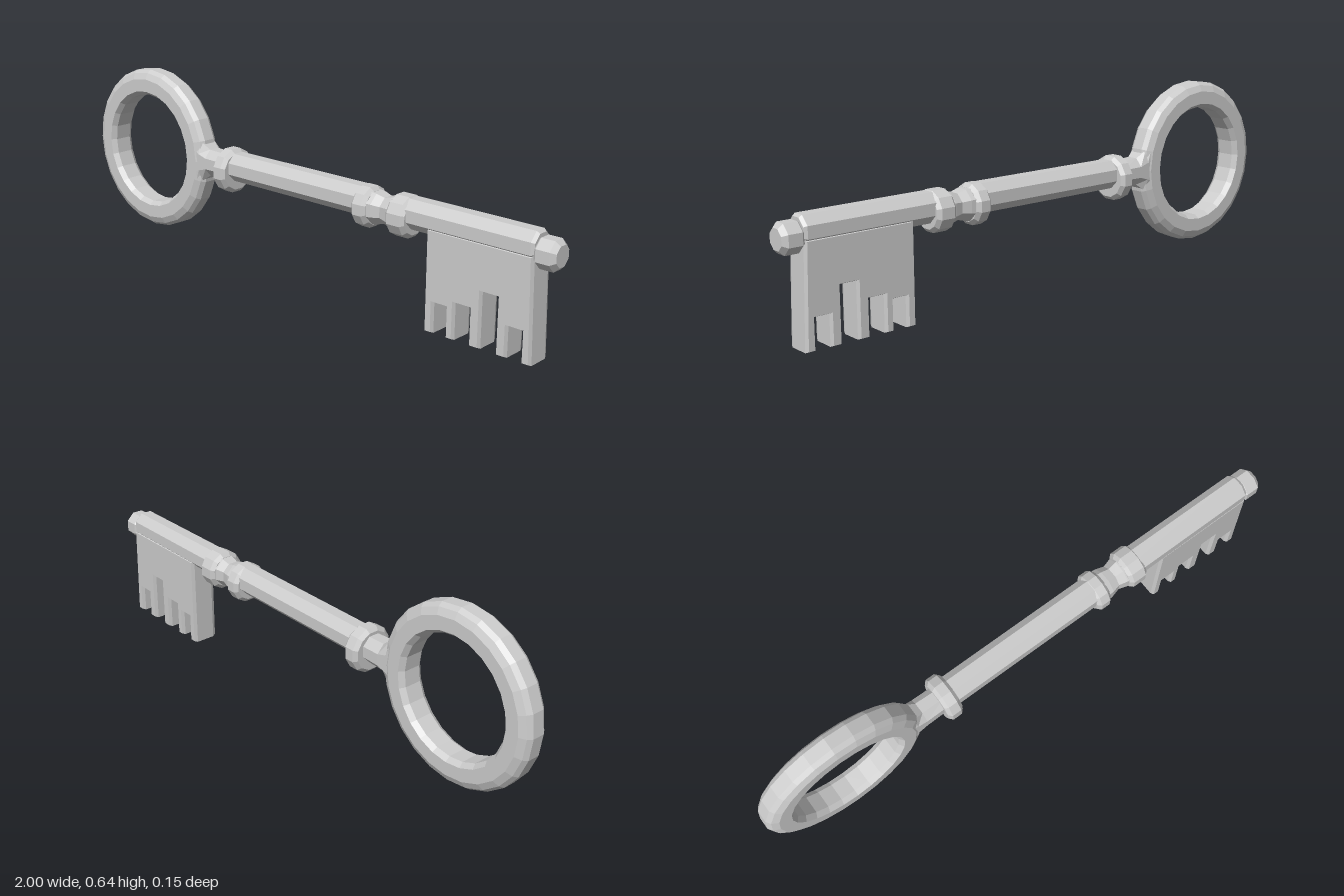
import * as THREE from 'three';

const material = new THREE.MeshStandardMaterial({ color: 0xcccccc, flatShading: true });

function addMesh(group, name, geometry) {
  const mesh = new THREE.Mesh(geometry, material);
  mesh.name = name;
  group.add(mesh);
  return mesh;
}

// Turned part lying along x; profile is [x, radius] from left to right,
// with flats (not corners) facing up, down, front and back.
function turned(profile, y, sides = 8) {
  const k = 1 / Math.cos(Math.PI / sides);
  const points = profile.map(([x, r]) => new THREE.Vector2(r * k, x));
  const geometry = new THREE.LatheGeometry(points, sides, Math.PI / sides);
  geometry.rotateZ(-Math.PI / 2);
  geometry.translate(0, y, 0);
  return geometry;
}

// Collar with chamfered rims
function collar(x0, x1, radius, y) {
  const c = 0.012;
  return turned([[x0, 0], [x0, radius - c], [x0 + c, radius], [x1 - c, radius], [x1, radius - c], [x1, 0]], y, 12);
}

export function createModel() {
  const key = new THREE.Group();
  key.name = 'key';

  // Ring handle: chamfered section swept around the z axis
  const section = [
    [0.2, -0.03], [0.213, -0.047], [0.258, -0.047], [0.28, -0.036], [0.291, -0.021],
    [0.291, 0.021], [0.28, 0.036], [0.258, 0.047], [0.213, 0.047], [0.2, 0.03], [0.2, -0.03],
  ].map(([r, z]) => new THREE.Vector2(r, z));
  const ring = new THREE.LatheGeometry(section, 24);
  ring.rotateX(Math.PI / 2);
  ring.translate(-0.71, 0.345, 0);
  addMesh(key, 'ringHandle', ring);

  // Neck flaring into the ring, flattened to the ring's thickness
  const neck = turned([[-0.49, 0], [-0.465, 0.1], [-0.44, 0.072], [-0.405, 0.047], [-0.32, 0.043], [-0.32, 0]], 0.345);
  const p = neck.attributes.position;
  for (let i = 0; i < p.count; i++) p.setZ(i, THREE.MathUtils.clamp(p.getZ(i), -0.044, 0.044));
  addMesh(key, 'neck', neck);

  // Shaft in two lengths, with a thinner waist between the double collars
  addMesh(key, 'shaft', turned([[-0.3, 0], [-0.3, 0.048], [0.3, 0.048], [0.3, 0]], 0.351));
  addMesh(key, 'waist', turned([[0.3, 0.055], [0.35, 0.05], [0.38, 0.042], [0.41, 0.05], [0.45, 0.055]], 0.337));
  addMesh(key, 'bitShaft', turned([[0.45, 0], [0.45, 0.048], [0.925, 0.047], [0.935, 0.04], [0.935, 0]], 0.35));

  // Collars
  addMesh(key, 'handleCollar', collar(-0.34, -0.283, 0.076, 0.335));
  addMesh(key, 'middleCollar', collar(0.278, 0.335, 0.066, 0.335));
  addMesh(key, 'bitCollar', collar(0.415, 0.487, 0.066, 0.335));

  // End knob
  addMesh(key, 'endKnob', turned([[0.91, 0.036], [0.93, 0.038], [0.94, 0.046], [0.985, 0.046], [1, 0.032], [1, 0]], 0.335));

  // Bit: plate with notches cut from below, [left, right, height]
  const notches = [[0.595, 0.645, 0.1], [0.673, 0.73, 0.12], [0.767, 0.825, 0.18], [0.86, 0.912, 0.1]];
  const bit = new THREE.Shape();
  bit.moveTo(0.565, 0.33);
  bit.lineTo(0.565, 0);
  for (const [left, right, height] of notches) {
    bit.lineTo(left, 0);
    bit.lineTo(left, height);
    bit.lineTo(right, height);
    bit.lineTo(right, 0);
  }
  bit.lineTo(0.943, 0);
  bit.lineTo(0.933, 0.33);
  bit.closePath();
  const bevel = 0.005, depth = 0.094, thickness = 0.012;
  const plate = new THREE.ExtrudeGeometry(bit, {
    depth: depth - 2 * thickness, bevelEnabled: true, bevelSegments: 1,
    bevelSize: bevel, bevelOffset: -bevel, bevelThickness: thickness,
  });
  plate.translate(0, 0, thickness - depth / 2);
  addMesh(key, 'bit', plate);

  return key;
}
